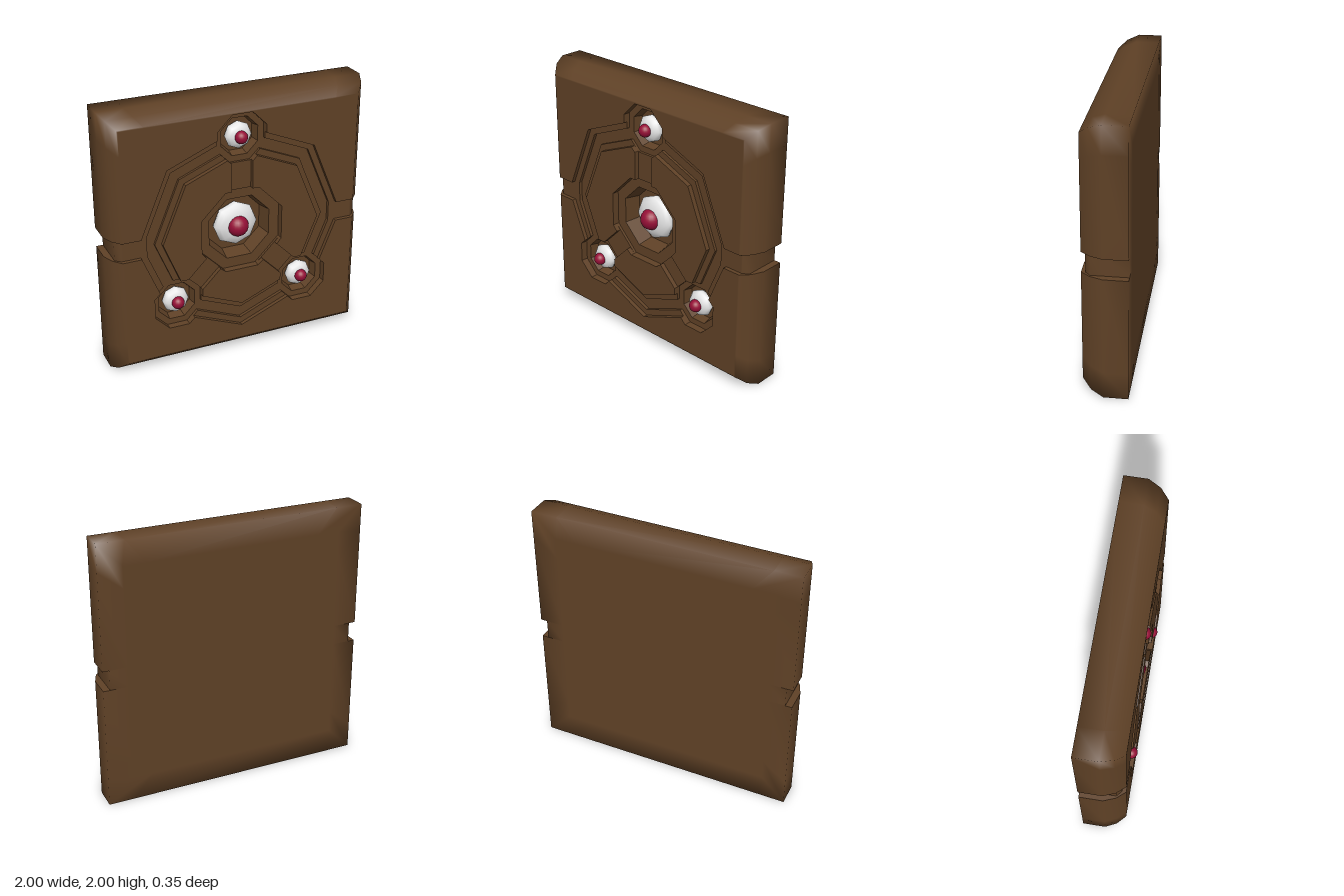
import * as THREE from 'three';

const brown = new THREE.MeshStandardMaterial({ color: 0x5f4126, side: THREE.DoubleSide });
brown.name = 'brown';
const white = new THREE.MeshStandardMaterial({ color: 0xe6e6e6 });
white.name = 'white';
const crimson = new THREE.MeshStandardMaterial({ color: 0x960f37 });
crimson.name = 'crimson';

const NOTCH = 0.075, NOTCH_X = 0.95, INNER = 0.9;
const Z = { back: -0.175, floor: 0.1, island: 0.12, step: 0.125, front: 0.155 };
// half-size and depth of each square ring, from back to front
const RINGS = [[0.82, Z.back], [1, Z.back], [1, 0], [0.965, 0.09], [0.91, Z.front], [INNER, Z.front]];

// x, y, size of outer and inner sockets, floor depth
const SOCKETS = [
  { name: 'centre', x: 0, y: 0, hole: 0.237, floor: -0.02, eye: 0.172, depth: 0.075, eyeZ: 0.02, pupil: 0.08, pupilZ: 0.073 },
  ...[[0, 0.71], [0.5, -0.5], [-0.5, -0.5]].map(([x, y], i) => ({
    name: ['upper', 'lowerLeft', 'lowerRight'][i], x, y,
    hole: 0.14, floor: 0.03, eye: 0.102, depth: 0.06, eyeZ: 0.07, pupil: 0.047, pupilZ: 0.13,
  })),
];

const vecs = (pts) => pts.map(([x, y]) => new THREE.Vector2(x, y));
const turn = (pts) => pts.map(([x, y]) => [-x, -y]);
const flip = (pts) => pts.map(([x, y]) => [-x, y]).reverse();
const mirrored = (pts) => [...pts, ...flip(pts)];
const square = (h) => [[-h, -h], [h, -h], [h, h], [-h, h]];

// flat-topped octagon with the given apothem
function octagon(cx, cy, a) {
  const r = a / Math.cos(Math.PI / 8);
  return Array.from({ length: 8 }, (_, i) => {
    const t = Math.PI * (i / 4 + 1 / 8);
    return [cx + r * Math.cos(t), cy + r * Math.sin(t)];
  });
}

function add(parent, name, geometry, material) {
  const mesh = new THREE.Mesh(geometry, material);
  mesh.name = name;
  parent.add(mesh);
  return mesh;
}

function slab(outline, z0, z1, holes = []) {
  const shape = new THREE.Shape(vecs(outline));
  holes.forEach((h) => shape.holes.push(new THREE.Path(vecs(h))));
  return new THREE.ExtrudeGeometry(shape, { depth: z1 - z0, bevelEnabled: false }).translate(0, 0, z0);
}

// smooth skin through one open path per ring
function loft(pathAt) {
  const pos = [], index = [];
  const paths = RINGS.map(([h, z]) => pathAt(h, z));
  const n = paths[0].length;
  paths.forEach((p) => p.forEach((v) => pos.push(...v)));
  for (let i = 0; i < paths.length - 1; i++) {
    for (let j = 0; j < n - 1; j++) {
      const a = i * n + j, b = a + n;
      index.push(a, a + 1, b + 1, a, b + 1, b);
    }
  }
  const g = new THREE.BufferGeometry();
  g.setAttribute('position', new THREE.Float32BufferAttribute(pos, 3));
  g.setIndex(index);
  g.computeVertexNormals();
  return g;
}

// upper and right-hand outline points of the octagonal track merged with the sockets
function trackRight(r) {
  const d = r * Math.SQRT1_2, k = (r - 0.262) / Math.SQRT2;
  const x = r - NOTCH * Math.tan(Math.PI / 8);
  return {
    upper: [[0.077, 0.895], [0.185, 0.787], [0.185, r - 0.0766], [d, d], [x, NOTCH]],
    lower: [[x, -NOTCH], [k + 0.262, -k], [0.685, -0.423], [0.685, -0.577],
      [0.577, -0.685], [0.423, -0.685], [k, -k - 0.262], [0, -r]],
  };
}

export function createModel() {
  const model = new THREE.Group();
  model.name = 'carvedTablet';
  const body = new THREE.Group();
  body.name = 'tablet';
  body.position.y = 1;
  model.add(body);

  // outer skin: upper and lower halves, then the side notches
  const inner = (h, y, z) => [Math.min(h, NOTCH_X), y, Math.min(z, Z.step)];
  const strips = {
    rim: (h, z) => [[h, NOTCH, z], [h, 0.8 * h, z], [h, h, z], [0.8 * h, h, z],
      [-0.8 * h, h, z], [-h, h, z], [-h, 0.8 * h, z], [-h, NOTCH, z]],
    notchLowerWall: (h, z) => [[h, -NOTCH, z], inner(h, -NOTCH, z)],
    notchFloor: (h, z) => [inner(h, -NOTCH, z), inner(h, NOTCH, z)],
    notchUpperWall: (h, z) => [inner(h, NOTCH, z), [h, NOTCH, z]],
  };
  for (const [name, path] of Object.entries(strips)) {
    const g = loft(path);
    add(body, name, g, brown);
    add(body, name + 'Opposite', g, brown).rotation.z = Math.PI;
  }
  const back = new THREE.PlaneGeometry(1.64, 1.64).rotateY(Math.PI).translate(0, 0, Z.back);
  add(body, 'backPanel', back, brown);

  // front plate in two halves with a channel between them on each side
  const plate = trackRight(0.8);
  const top = [[INNER, NOTCH], [INNER, INNER], [-INNER, INNER], [-INNER, NOTCH]];
  add(body, 'upperPlate', slab([...top, ...flip(plate.upper), ...plate.upper], Z.step, Z.front), brown);
  add(body, 'lowerPlate', slab([...turn(top), ...plate.lower, ...flip(plate.lower).slice(1)]
    , Z.step, Z.front), brown);

  // step inside the plate, and the track floor pierced by sockets
  const step = trackRight(0.75);
  const stepHole = [...step.upper, ...step.lower, ...flip(step.lower).slice(1), ...flip(step.upper)];
  add(body, 'trackStep', slab(square(INNER), Z.floor, Z.step, [stepHole]), brown);
  const floor = new THREE.Shape(vecs(square(INNER)));
  SOCKETS.forEach((s) => floor.holes.push(new THREE.Path(vecs(octagon(s.x, s.y, s.hole)))));
  add(body, 'trackFloor', new THREE.ShapeGeometry(floor).translate(0, 0, Z.floor), brown);

  // island inside the track, with three raised panels separated by spoke channels
  const islandHalf = [[0.077, 0.525], [0.15, 0.598], [0.467, 0.467], [0.66, 0], [0.53, -0.315],
    [0.423, -0.315], [0.315, -0.423], [0.315, -0.53], [0.001, -0.66]];
  add(body, 'island', slab(mirrored(islandHalf), Z.floor, Z.island, [octagon(0, 0, 0.315)]), brown);
  const side = [[0.08, 0.315], [0.08, 0.53], [0.115, 0.562], [0.431, 0.431], [0.61, 0], [0.482, -0.315],
    [0.423, -0.315], [0.28, -0.172], [0.315, -0.13], [0.315, 0.13], [0.13, 0.315]];
  add(body, 'leftPanel', slab(side, Z.island, Z.front), brown);
  add(body, 'rightPanel', slab(flip(side), Z.island, Z.front), brown);
  const bottom = [[0.13, -0.315], [0.172, -0.28], [0.315, -0.423], [0.315, -0.479], [0.001, -0.61]];
  add(body, 'bottomPanel', slab(mirrored(bottom), Z.island, Z.front), brown);

  // tapered sockets, each holding an eye with a round pupil
  for (const s of SOCKETS) {
    const socket = new THREE.Group();
    socket.name = s.name + 'Socket';
    socket.position.set(s.x, s.y, 0);
    body.add(socket);
    const r = s.hole / Math.cos(Math.PI / 8), r2 = r * 0.9;
    const wall = new THREE.CylinderGeometry(r, r2, Z.floor - s.floor, 8, 1, true)
      .rotateY(Math.PI / 8).rotateX(Math.PI / 2).translate(0, 0, (Z.floor + s.floor) / 2).toNonIndexed();
    wall.computeVertexNormals();
    add(socket, 'socketWall', wall, brown);
    add(socket, 'socketFloor', new THREE.CircleGeometry(r2, 8, Math.PI / 8).translate(0, 0, s.floor), brown);
    const eye = add(socket, 'eye', new THREE.SphereGeometry(1, 8, 10).rotateX(Math.PI / 2), white);
    eye.scale.set(s.eye, s.eye, s.depth);
    eye.position.z = s.eyeZ;
    add(socket, 'pupil', new THREE.SphereGeometry(s.pupil, 20, 14), crimson).position.z = s.pupilZ;
  }
  return model;
}
